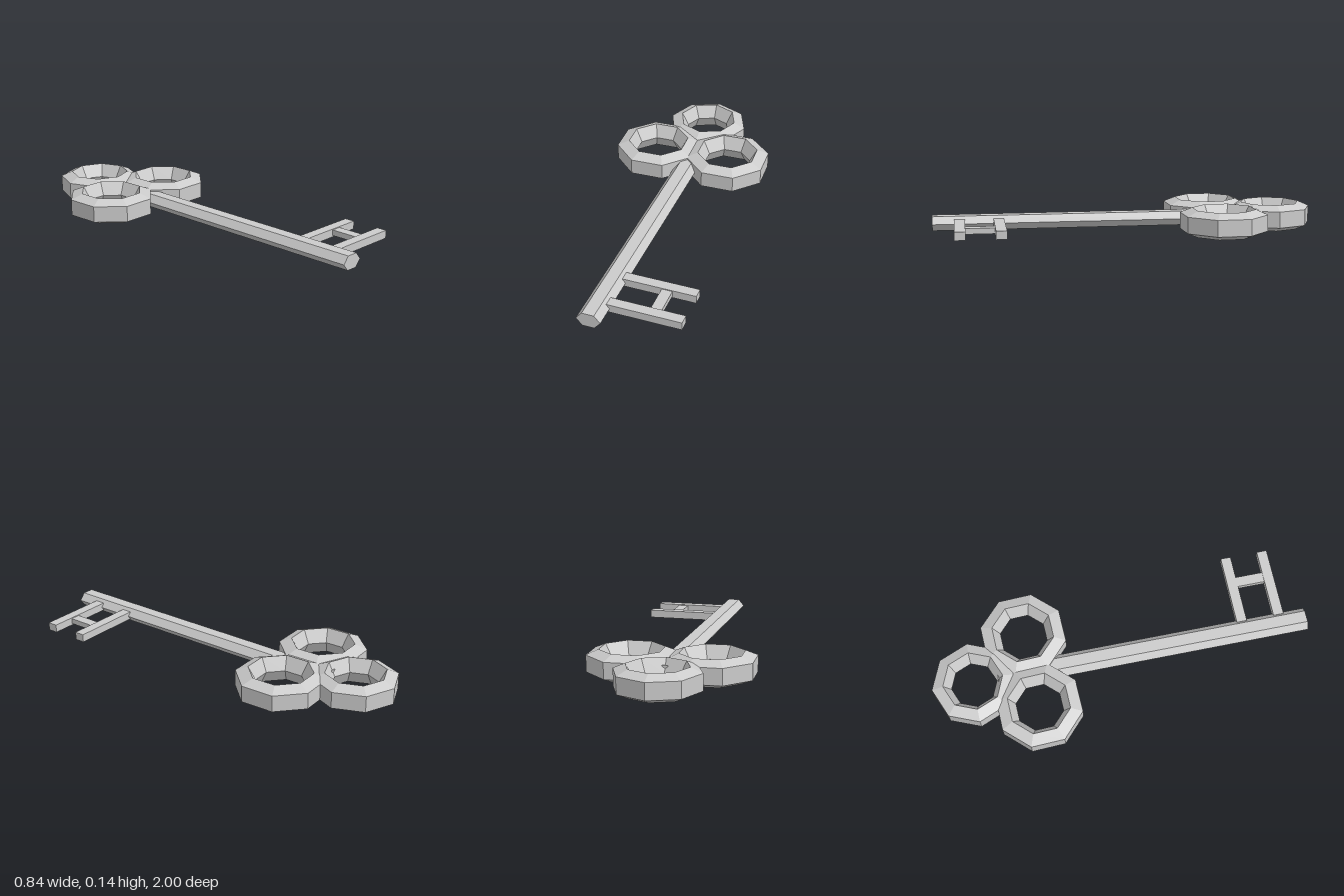
import * as THREE from 'three';

export function createModel() {
  const key = new THREE.Group();
  key.name = 'key';
  const material = new THREE.MeshStandardMaterial({ color: 0xcccccc, flatShading: true });

  function add(name, geometry, x, y, z) {
    const mesh = new THREE.Mesh(geometry, material);
    mesh.name = name;
    mesh.position.set(x, y, z);
    key.add(mesh);
    return mesh;
  }

  // Eight-sided ring with a pentagonal section: flat outer wall, pointed inner rim
  function ringGeometry(scale, turn) {
    const points = [];
    for (let i = 0; i <= 5; i++) {
      const a = Math.PI + (i * Math.PI * 2) / 5;
      points.push(new THREE.Vector2(
        scale * (0.1822 + 0.0568 * Math.cos(a)),
        0.0722 * Math.sin(a)
      ));
    }
    return new THREE.LatheGeometry(points, 8).rotateY(turn);
  }

  // Bow: three touching rings
  const flat = Math.PI / 8 + 0.04;
  add('leftRing', ringGeometry(1, flat), 0.19, 0.069, -0.486);
  add('rightRing', ringGeometry(1, flat), -0.209, 0.069, -0.471);
  add('backRing', ringGeometry(0.95, 0), -0.022, 0.069, -0.784);

  // Hexagonal shaft running from the tip into the bow
  const shaft = new THREE.CylinderGeometry(0.0615, 0.0615, 1.655, 6)
    .rotateY(Math.PI / 6)
    .rotateX(Math.PI / 2);
  shaft.computeBoundingBox();
  const size = shaft.boundingBox.getSize(new THREE.Vector3());
  // Turn the section so its points face sideways, then flatten it
  if (size.y > size.x) shaft.rotateZ(Math.PI / 2);
  shaft.scale(1, 0.0365 / (0.0615 * Math.cos(Math.PI / 6)), 1);
  add('shaft', shaft, -0.005, 0.066, 0.1725);

  // Bit: two teeth joined by a short bridge
  for (const [name, z] of [['frontTooth', 0.862], ['backTooth', 0.662]]) {
    add(name, new THREE.BoxGeometry(0.375, 0.042, 0.054), 0.2275, 0.067, z);
  }
  add('toothBridge', new THREE.BoxGeometry(0.054, 0.029, 0.16), 0.268, 0.069, 0.762);

  return key;
}
